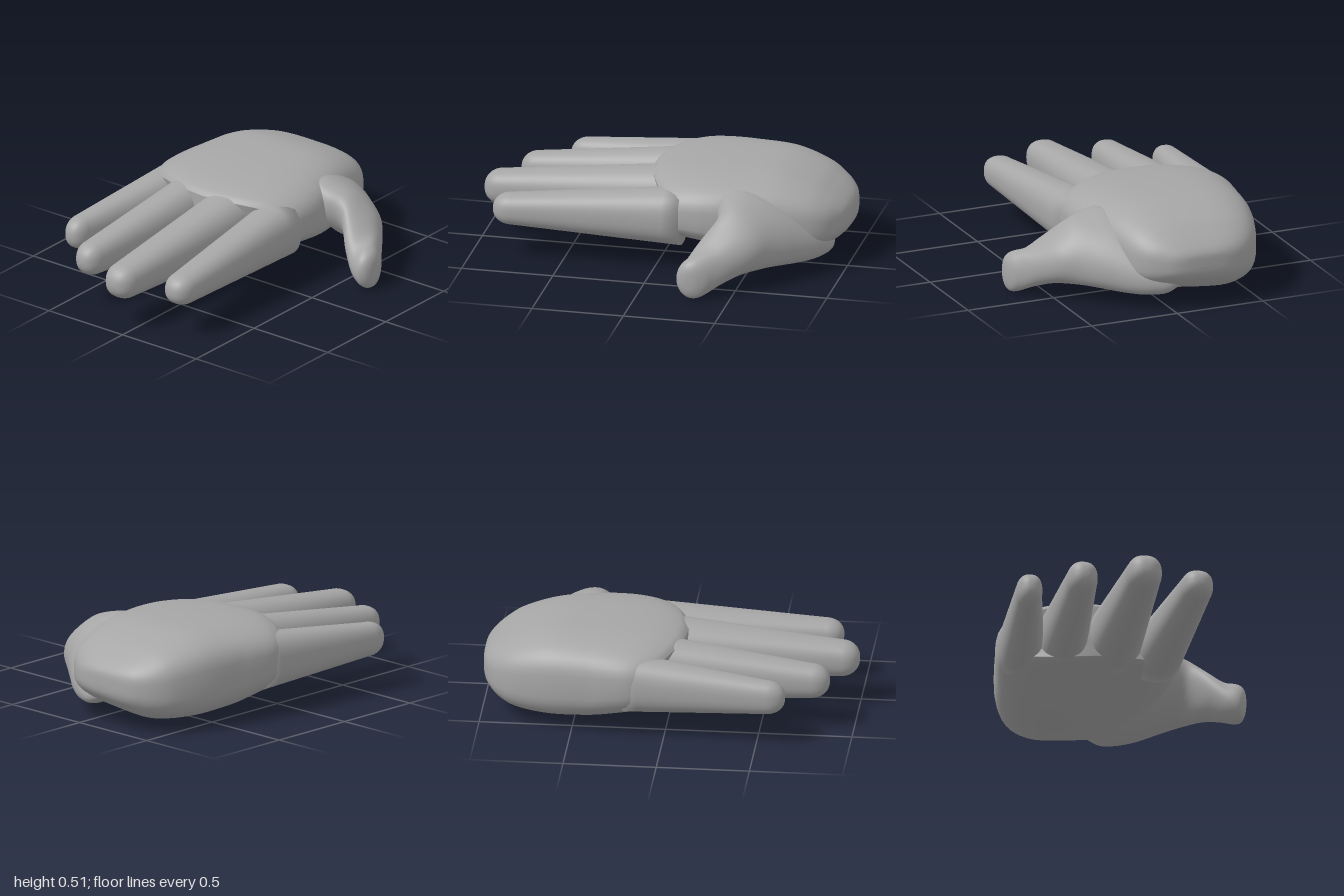
import * as THREE from 'three';

const skin = new THREE.MeshStandardMaterial({ color: 0xa6a6a6 });
skin.name = 'plain grey';

const RING = 48;

// Smooth interpolation through rows of numbers (uniform Catmull-Rom).
function refine(rows, steps) {
  const out = [];
  const at = (i) => rows[Math.min(Math.max(i, 0), rows.length - 1)];
  for (let i = 0; i < rows.length - 1; i++) {
    for (let s = 0; s < steps; s++) {
      const t = s / steps;
      out.push(rows[i].map((p1, k) => {
        const p0 = at(i - 1)[k], p2 = at(i + 1)[k], p3 = at(i + 2)[k];
        return 0.5 * (2 * p1 + (p2 - p0) * t + (2 * p0 - 5 * p1 + 4 * p2 - p3) * t * t
          + (3 * p1 - p0 - 3 * p2 + p3) * t * t * t);
      }));
    }
  }
  out.push(rows[rows.length - 1]);
  return out;
}

// Skin over superellipse sections [along, u0, u1, v0, v1, tilt].
// place(along, u, v) gives the final point.
function loft(name, rows, power, place) {
  const pos = [], idx = [];
  const bend = (c) => Math.sign(c) * Math.pow(Math.abs(c), 2 / power);
  for (const [w, u0, u1, v0, v1, k = 0] of rows) {
    for (let j = 0; j < RING; j++) {
      const a = (j / RING) * Math.PI * 2;
      const c = bend(Math.cos(a)), s = bend(Math.sin(a));
      const u = (u0 + u1) / 2 + ((u1 - u0) / 2) * c;
      const v = (v0 + v1) / 2 + ((v1 - v0) / 2) * (Math.sqrt(1 - k * k) * s + k * c);
      pos.push(...place(w, u, v));
    }
  }
  const last = rows.length - 1;
  for (const r of [rows[0], rows[last]]) pos.push(...place(r[0], (r[1] + r[2]) / 2, (r[3] + r[4]) / 2));
  const startCap = rows.length * RING, endCap = startCap + 1;
  for (let j = 0; j < RING; j++) {
    const n = (j + 1) % RING;
    for (let i = 0; i < last; i++) {
      const a = i * RING + j, b = i * RING + n;
      idx.push(a, b, a + RING, b, b + RING, a + RING);
    }
    idx.push(startCap, n, j, endCap, last * RING + j, last * RING + n);
  }
  const geo = new THREE.BufferGeometry();
  geo.setAttribute('position', new THREE.Float32BufferAttribute(pos, 3));
  geo.setIndex(idx);
  geo.computeVertexNormals();
  const mesh = new THREE.Mesh(geo, skin);
  mesh.name = name;
  return mesh;
}

// Straight tapering finger with a rounded tip; base and tip are [x, z0, z1, y0, y1].
function finger(name, base, tip) {
  const R = 0.1, rows = [];
  const mix = (t) => base.map((b, k) => b + (tip[k] - b) * t);
  const tEnd = 1 - R / (base[0] - tip[0]);
  for (let i = 0; i < 10; i++) rows.push(mix((i / 10) * tEnd));
  for (let i = 0; i <= 12; i++) {
    const a = (i / 12) * Math.PI * 0.495;
    const [, z0, z1, y0, y1] = mix(tEnd);
    const zc = (z0 + z1) / 2, yc = (y0 + y1) / 2, s = Math.pow(Math.cos(a), 0.85);
    rows.push([tip[0] + R - R * Math.sin(a), zc + (z0 - zc) * s, zc + (z1 - zc) * s,
      yc + (y0 - yc) * s, yc + (y1 - yc) * s]);
  }
  return loft(name, rows, 2.4, (x, z, y) => [x, y, z]);
}

export function createModel() {
  const hand = new THREE.Group();
  hand.name = 'hand';

  // Palm, from the wrist end to the knuckles
  const palmRows = [
    [1.0, -0.21, -0.13, 0.24, 0.29],
    [0.993, -0.31, -0.03, 0.19, 0.32],
    [0.965, -0.4, 0.05, 0.145, 0.355],
    [0.9, -0.485, 0.14, 0.09, 0.405],
    [0.8, -0.55, 0.2, 0.05, 0.46],
    [0.62, -0.61, 0.25, 0.033, 0.51],
    [0.4, -0.645, 0.3, 0.045, 0.517],
    [0.2, -0.665, 0.315, 0.075, 0.51],
    [0.05, -0.67, 0.31, 0.1, 0.495],
    [-0.05, -0.655, 0.3, 0.12, 0.47],
    [-0.09, -0.635, 0.28, 0.14, 0.44],
  ];
  hand.add(loft('palm', refine(palmRows, 6), 3.1, (x, z, y) => {
    // knuckle line curves back at both sides; underside rises toward the thumb
    const q = (z + 0.18) / 0.49;
    const fade = Math.min(1, Math.max(0, (0.4 - x) / 0.5));
    const low = Math.min(1, Math.max(0, (0.27 - y) / 0.23));
    return [x + 0.2 * q * q * fade, y + 0.12 * Math.max(0, z + 0.35) * low, z];
  }));

  // Four fingers
  hand.add(
    finger('indexFinger', [0.14, 0.04, 0.315, 0.125, 0.44], [-0.885, 0.165, 0.325, 0.19, 0.345]),
    finger('middleFinger', [0.1, -0.225, 0.085, 0.125, 0.475], [-1.0, -0.155, 0.02, 0.18, 0.355]),
    finger('ringFinger', [0.1, -0.475, -0.205, 0.125, 0.475], [-0.87, -0.46, -0.31, 0.185, 0.35]),
    finger('littleFinger', [0.22, -0.665, -0.41, 0.13, 0.45], [-0.655, -0.705, -0.58, 0.19, 0.355]),
  );

  // Thumb, from inside the palm to the tip
  const thumbRows = [
    [-0.12, 0.66, 0.89, 0.14, 0.25, -0.5],
    [0.0, 0.48, 0.93, 0.085, 0.34, -0.6],
    [0.1, 0.41, 0.91, 0.075, 0.42, -0.6],
    [0.2, 0.365, 0.85, 0.08, 0.46, -0.6],
    [0.3, 0.355, 0.77, 0.09, 0.445, -0.5],
    [0.4, 0.37, 0.685, 0.1, 0.41, -0.4],
    [0.5, 0.285, 0.605, 0.08, 0.33, 0],
    [0.58, 0.23, 0.505, 0.035, 0.26, 0.2],
    [0.64, 0.21, 0.42, 0.005, 0.23, 0.1],
    [0.675, 0.225, 0.375, 0.01, 0.205, 0],
    [0.693, 0.255, 0.335, 0.045, 0.17, 0],
    [0.698, 0.285, 0.305, 0.09, 0.12, 0],
  ];
  hand.add(loft('thumb', refine(thumbRows, 6), 2.1, (z, x, y) => [x, y, z]));

  return hand;
}
